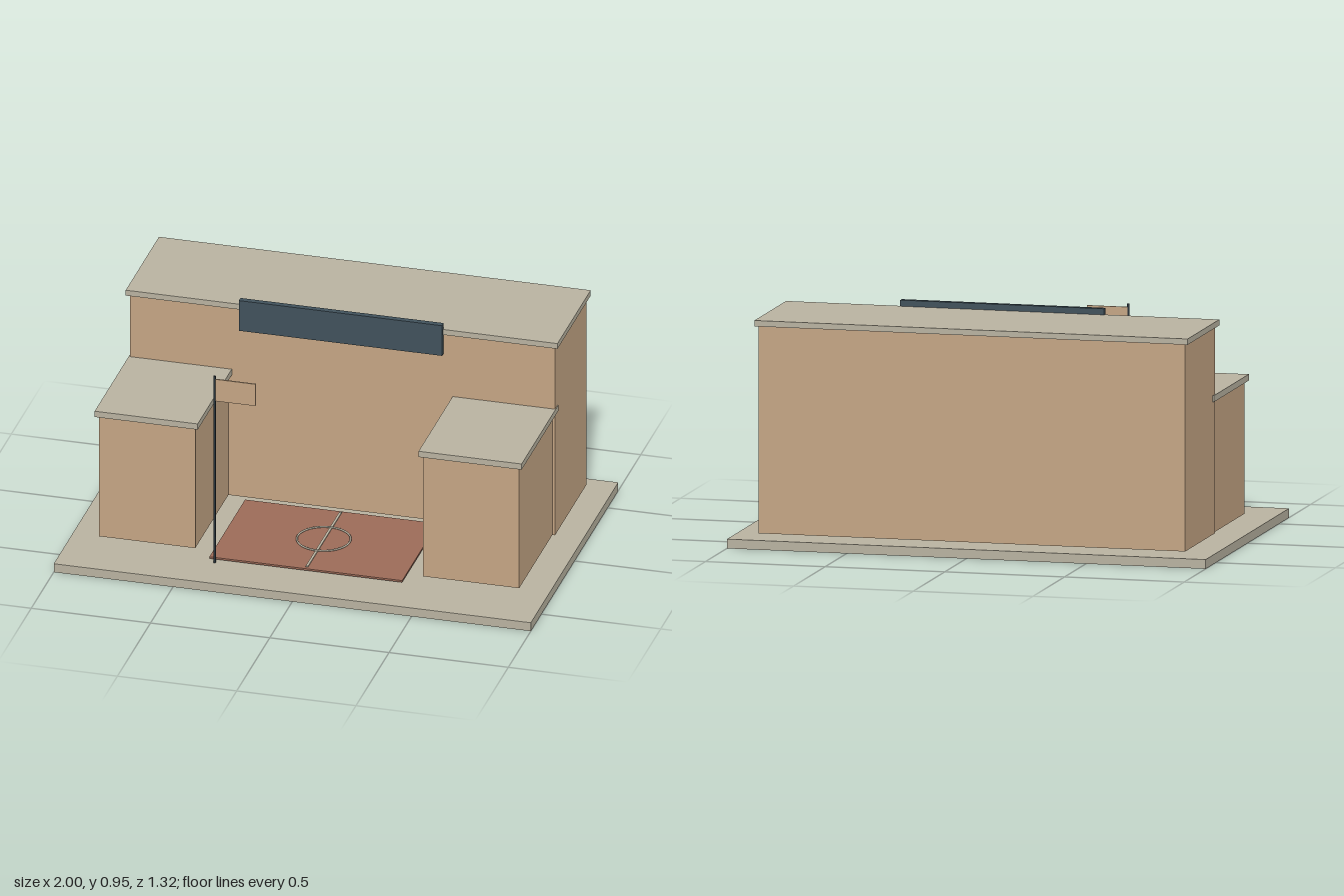
import * as THREE from 'three';

const material = (name, color) => {
  const m = new THREE.MeshStandardMaterial({ color });
  m.name = name;
  return m;
};

export function createModel() {
  const model = new THREE.Group();
  model.name = 'schoolBuilding';

  const wall = material('tan wall', 0xc4a584);
  const concrete = material('pale concrete', 0xb8b2a0);
  const clay = material('clay court', 0x9c6b58);
  const slate = material('dark slate', 0x40515b);
  const iron = material('dark iron', 0x27323a);

  const add = (parent, name, geometry, mat, x, y, z) => {
    const mesh = new THREE.Mesh(geometry, mat);
    mesh.name = name;
    mesh.position.set(x, y, z);
    parent.add(mesh);
    return mesh;
  };
  // Box given by its lower and upper limits on each axis
  const box = (parent, name, mat, [x0, x1], [y0, y1], [z0, z1]) =>
    add(parent, name, new THREE.BoxGeometry(x1 - x0, y1 - y0, z1 - z0), mat,
      (x0 + x1) / 2, (y0 + y1) / 2, (z0 + z1) / 2);

  // Ground slab
  box(model, 'groundSlab', concrete, [-1, 1], [0, 0.038], [-0.66, 0.66]);

  // Main block with overhanging roof
  box(model, 'mainBlock', wall, [-0.892, 0.89], [0.053, 0.902], [-0.575, -0.101]);
  box(model, 'mainRoof', concrete, [-0.906, 0.904], [0.902, 0.926], [-0.59, -0.088]);

  // Two lower wings
  for (const side of [-1, 1]) {
    const wing = new THREE.Group();
    wing.name = side > 0 ? 'leftWing' : 'rightWing';
    wing.position.x = side * 0.679 - 0.002;
    box(wing, 'wingBlock', wall, [-0.202, 0.202], [0.053, 0.596], [-0.101, 0.4]);
    box(wing, 'wingRoof', concrete, [-0.216, 0.216], [0.596, 0.622], [-0.14, 0.414]);
    model.add(wing);
  }

  // Blank sign board over the courtyard
  box(model, 'signBoard', slate, [-0.427, 0.425], [0.815, 0.951], [-0.096, -0.071]);

  // Sports court with centre line and circle
  const court = new THREE.Group();
  court.name = 'court';
  box(court, 'courtSurface', clay, [-0.404, 0.404], [0.043, 0.051], [-0.082, 0.456]);
  box(court, 'centreLine', concrete, [-0.005, 0.005], [0.051, 0.055], [-0.07, 0.44]);
  add(court, 'centreCircle', new THREE.TorusGeometry(0.109, 0.004, 8, 48), concrete,
    0, 0.056, 0.185).rotation.x = Math.PI / 2;
  model.add(court);

  // Flagpole and flag
  add(model, 'flagpole', new THREE.CylinderGeometry(0.005, 0.005, 0.842, 12), iron,
    -0.377, 0.459, 0.476);
  box(model, 'flag', wall, [-0.374, -0.205], [0.768, 0.866], [0.472, 0.478]);

  return model;
}
